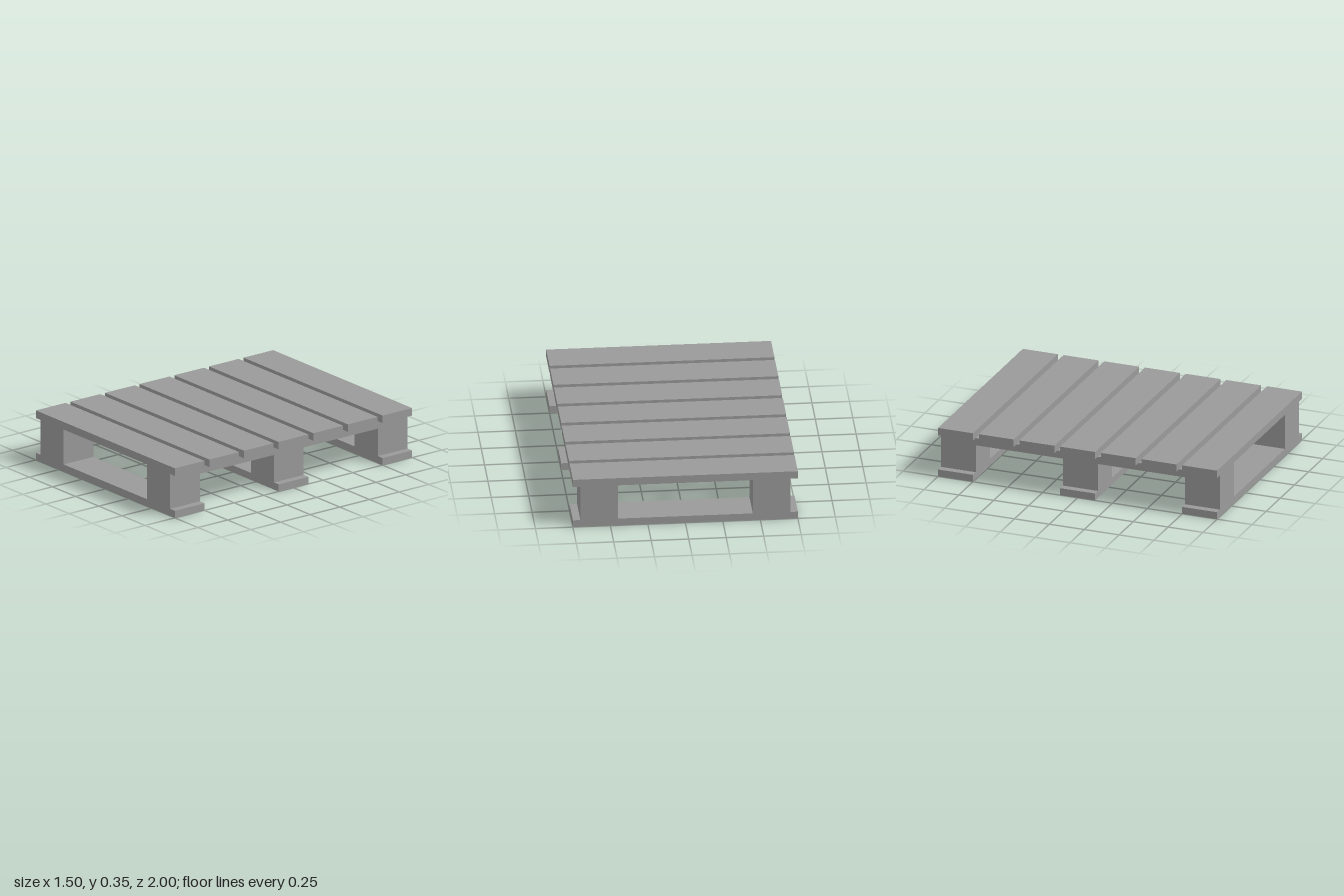
import * as THREE from 'three';

export function createModel() {
  const pallet = new THREE.Group();
  pallet.name = 'pallet';
  const wood = new THREE.MeshStandardMaterial({ color: 0x9a9a9a, flatShading: true });

  // Heights of the stacked layers
  const floorTop = 0.05, blockTop = 0.243, stringerTop = 0.295, deckTop = 0.348;
  const boardWidth = 0.25, boardLength = 1.5, palletLength = 2;
  const endZ = (palletLength - boardWidth) / 2;
  const blockX = 0.575;

  // A plank given by its footprint, bottom/top heights and centre
  function plank(name, width, depth, bottom, top, x, z) {
    const mesh = new THREE.Mesh(new THREE.BoxGeometry(width, top - bottom, depth), wood);
    mesh.name = name;
    mesh.position.set(x, (bottom + top) / 2, z);
    pallet.add(mesh);
  }

  // Deck: seven evenly spaced boards
  const deckCount = 7;
  for (let i = 0; i < deckCount; i++) {
    const z = -endZ + (2 * endZ * i) / (deckCount - 1);
    plank(`deckBoard${i + 1}`, boardLength, boardWidth, stringerTop, deckTop, 0, z);
  }

  // Lengthwise stringers under the deck
  for (const [side, sign] of [['left', 1], ['right', -1]]) {
    plank(`${side}Stringer`, boardWidth, palletLength, blockTop, stringerTop, sign * blockX, 0);
  }

  // Three bottom boards, each carrying a pair of spacer blocks
  for (const [row, z] of [['front', endZ], ['middle', 0], ['back', -endZ]]) {
    plank(`${row}BottomBoard`, boardLength, boardWidth, 0, floorTop, 0, z);
    plank(`${row}LeftBlock`, boardWidth, boardWidth, floorTop, blockTop, blockX, z);
    plank(`${row}RightBlock`, boardWidth, boardWidth, floorTop, blockTop, -blockX, z);
  }

  return pallet;
}
